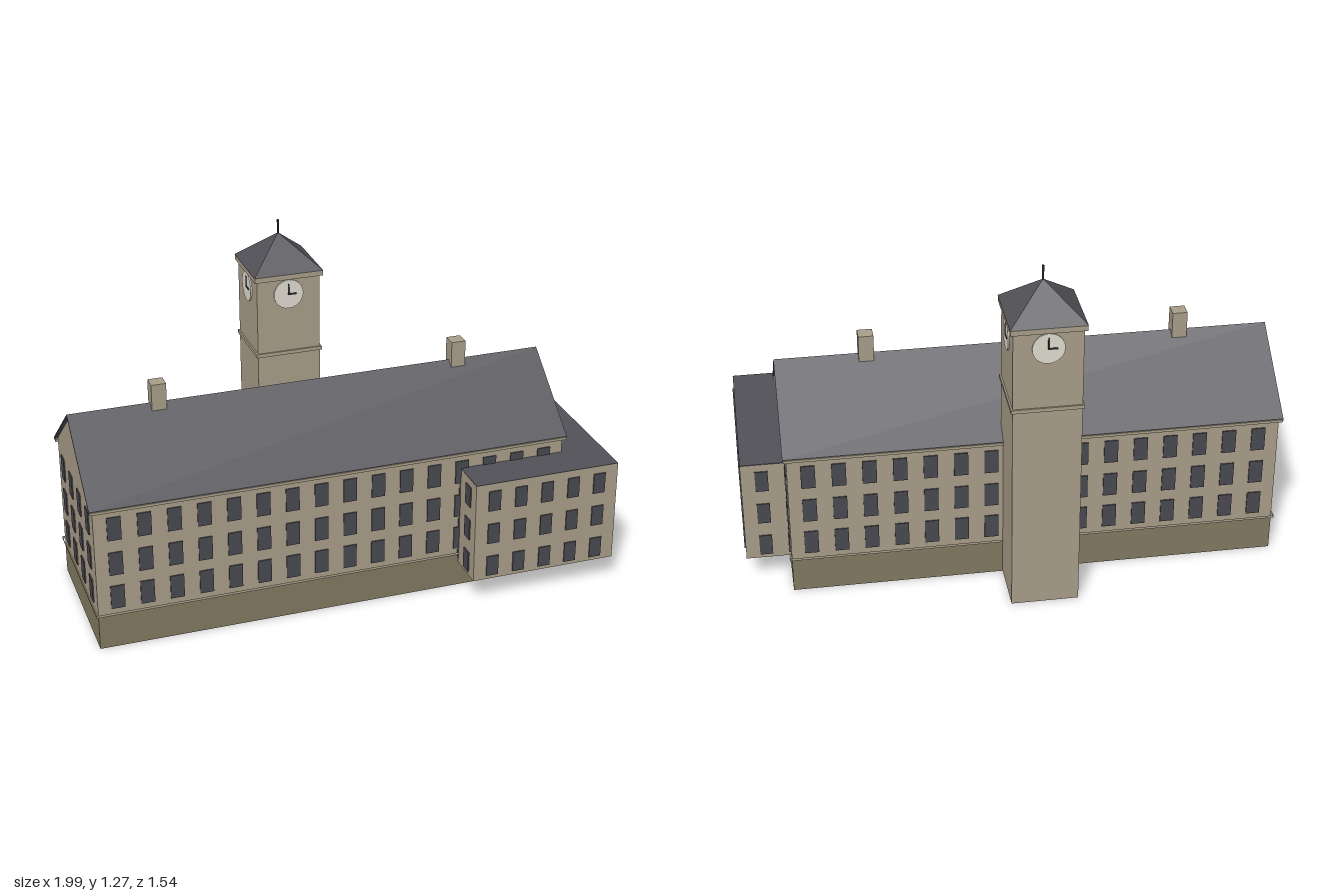
import * as THREE from 'three';
import { mergeGeometries } from 'three/addons/utils/BufferGeometryUtils.js';

const mat = (name, color, side = THREE.FrontSide) => {
  const m = new THREE.MeshStandardMaterial({ color, side });
  m.name = name;
  return m;
};

export function createModel() {
  const wall = mat('wall stone', 0xa89c88, THREE.DoubleSide);
  const base = mat('base stone', 0x807860, THREE.DoubleSide);
  const roof = mat('slate', 0x525157, THREE.DoubleSide);
  const glass = mat('window glass', 0x484850);
  const dial = mat('clock dial', 0xdedacf);
  const dark = mat('dark iron', 0x2c2c30);

  const model = new THREE.Group();
  model.name = 'clockTowerHall';
  const hall = new THREE.Group();
  hall.name = 'building';
  hall.position.set(-0.1, 0, -0.005);
  hall.rotation.y = 0.625;
  model.add(hall);

  const add = (name, geo, material, x = 0, y = 0, z = 0, parent = hall) => {
    const mesh = new THREE.Mesh(geo, material);
    mesh.name = name;
    mesh.position.set(x, y, z);
    parent.add(mesh);
    return mesh;
  };
  const box = (name, w, h, d, material, x, y, z, parent) =>
    add(name, new THREE.BoxGeometry(w, h, d), material, x, y, z, parent);

  // Four walls without floor or ceiling
  const shell = (name, w, d, y0, y1, material, x = 0, z = 0) => {
    let g = new THREE.CylinderGeometry(Math.SQRT1_2, Math.SQRT1_2, 1, 4, 1, true);
    g.rotateY(Math.PI / 4);
    g.scale(w, y1 - y0, d);
    g = g.toNonIndexed();
    g.computeVertexNormals();
    add(name, g, material, x, (y0 + y1) / 2, z);
  };

  // Window grid on one face: centred at (x, z), turned by angle
  const windows = (name, cols, step, rows, w, h, x, z, angle) => {
    const parts = [];
    for (const y of rows) {
      for (let i = 0; i < cols; i++) {
        const g = new THREE.BoxGeometry(w, h, 0.009);
        g.translate((i - (cols - 1) / 2) * step, y, 0);
        parts.push(g);
      }
    }
    add(name, mergeGeometries(parts), glass, x, 0, z).rotation.y = angle;
  };

  // Main block
  const L = 1.755, W = 0.575;
  shell('basement', L, W, 0, 0.135, base);
  shell('mainWalls', L, W, 0.135, 0.56, wall);
  shell('baseLedge', L + 0.016, W + 0.016, 0.132, 0.142, wall);
  const rows = [0.203, 0.337, 0.475];
  for (const s of [1, -1]) {
    windows('longSideWindows', 16, 0.1073, rows, 0.05, 0.09, 0, s * W / 2, s > 0 ? 0 : Math.PI);
    windows('endWindows', 4, 0.135, rows, 0.05, 0.09, s * L / 2, 0, s * Math.PI / 2);
    box('cornice', L + 0.02, 0.01, 0.02, wall, 0, 0.551, s * (W / 2 + 0.006));

    // Gable triangle
    const tri = new THREE.Shape([
      new THREE.Vector2(-W / 2, 0), new THREE.Vector2(W / 2, 0), new THREE.Vector2(0, 0.222)]);
    add('gable', new THREE.ShapeGeometry(tri), wall, s * L / 2, 0.56, 0).rotation.y = s * Math.PI / 2;

    // Chimney
    box('chimney', 0.054, 0.1, 0.054, wall, s * 0.565, 0.818, 0);
  }

  // Pitched roof, extruded from a thin chevron
  const chevron = new THREE.Shape([
    [-0.3, 0.558], [0, 0.79], [0.3, 0.558], [0.3, 0.55], [0, 0.782], [-0.3, 0.55],
  ].map(([a, b]) => new THREE.Vector2(a, b)));
  const roofGeo = new THREE.ExtrudeGeometry(chevron, { depth: 1.78, bevelEnabled: false });
  roofGeo.translate(0, 0, -0.89);
  add('mainRoof', roofGeo, roof).rotation.y = Math.PI / 2;

  // Side wing
  const ax = 0.758, az = 0.115, aw = 0.557, ad = 0.64;
  shell('wingWalls', aw, ad, 0.097, 0.488, wall, ax, az);
  box('wingRoof', aw, 0.004, ad, roof, ax, 0.488, az);
  const wingRows = [0.152, 0.286, 0.42];
  for (const s of [1, -1]) {
    windows('wingSideWindows', 5, 0.103, wingRows, 0.046, 0.08, ax, az + s * ad / 2, s > 0 ? 0 : Math.PI);
    windows('wingEndWindows', 6, 0.101, wingRows, 0.046, 0.08, ax + s * aw / 2, az, s * Math.PI / 2);
  }

  // Clock tower
  const tower = new THREE.Group();
  tower.name = 'tower';
  tower.position.set(0, 0, -0.369);
  hall.add(tower);
  const T = 0.24;
  box('towerShaft', T, 1.09, T, wall, 0, 0.545, 0, tower);
  box('towerBand', T + 0.012, 0.014, T + 0.012, wall, 0, 0.793, 0, tower);
  box('towerCornice', 0.26, 0.02, 0.26, wall, 0, 1.095, 0, tower);
  let cone = new THREE.ConeGeometry(0.262 * Math.SQRT1_2, 0.117, 4);
  cone.rotateY(Math.PI / 4);
  cone = cone.toNonIndexed();
  cone.computeVertexNormals();
  add('towerRoof', cone, roof, 0, 1.1635, 0, tower);
  add('spire', new THREE.CylinderGeometry(0.004, 0.004, 0.065, 6), dark, 0, 1.2395, 0, tower);

  // A clock on each side of the tower
  for (let i = 0; i < 4; i++) {
    const clock = new THREE.Group();
    clock.name = 'clock';
    clock.rotation.y = i * Math.PI / 2;
    clock.position.y = 1.026;
    tower.add(clock);
    const disc = new THREE.CylinderGeometry(0.056, 0.056, 0.006, 24);
    disc.rotateX(Math.PI / 2);
    add('clockFace', disc, dial, 0, 0, T / 2 + 0.002, clock);
    box('minuteHand', 0.006, 0.042, 0.003, dark, 0, 0.019, T / 2 + 0.006, clock);
    box('hourHand', 0.032, 0.006, 0.003, dark, 0.015, 0, T / 2 + 0.006, clock);
  }
  return model;
}
